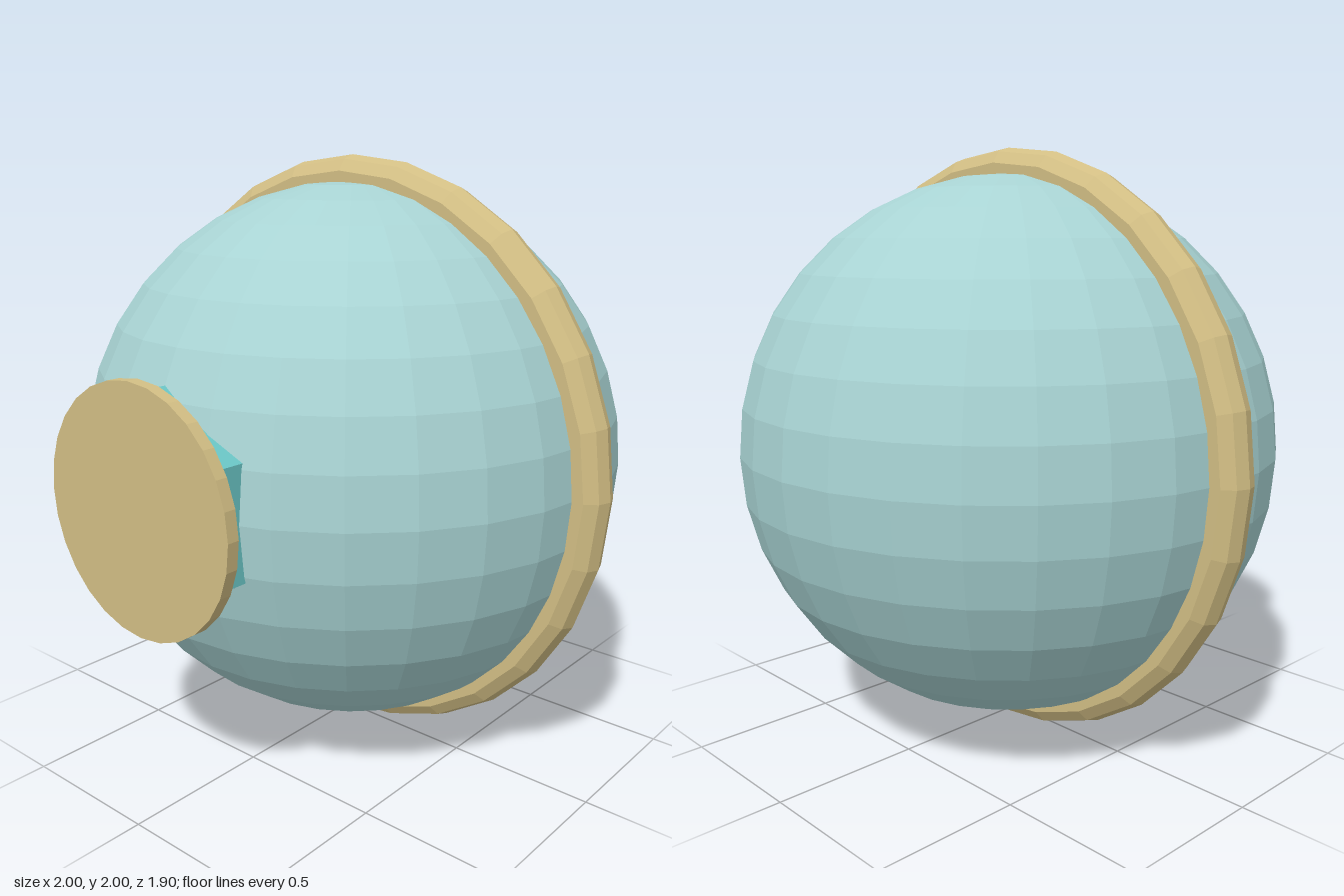
import * as THREE from 'three';

const paint = (name, color) => {
  const m = new THREE.MeshStandardMaterial({ color, flatShading: true });
  m.name = name;
  return m;
};

export function createModel() {
  const glass = paint('pale aqua', 0xa8d3d3);
  const gold = paint('sand gold', 0xd2be84);
  const teal = paint('teal', 0x6cc8c8);

  const group = new THREE.Group();
  group.name = 'bauble';
  const add = (name, geometry, material, z) => {
    const mesh = new THREE.Mesh(geometry, material);
    mesh.name = name;
    mesh.position.set(0, 1, z);
    group.add(mesh);
  };
  // Prism whose axis runs front to back
  const prism = (radius, depth, sides) =>
    new THREE.CylinderGeometry(radius, radius, depth, sides).rotateX(Math.PI / 2);

  const centreZ = -0.03;
  // Faceted ball and the band around it
  add('ball', new THREE.SphereGeometry(0.918, 28, 18), glass, centreZ);
  add('band', new THREE.TorusGeometry(0.925, 0.075, 10, 28), gold, centreZ);
  // Hexagonal stem, sunk into the ball, with a round cap in front
  add('stem', prism(0.355, 0.25, 6), teal, 0.785);
  add('cap', prism(0.39, 0.04, 28), gold, 0.93);

  return group;
}
